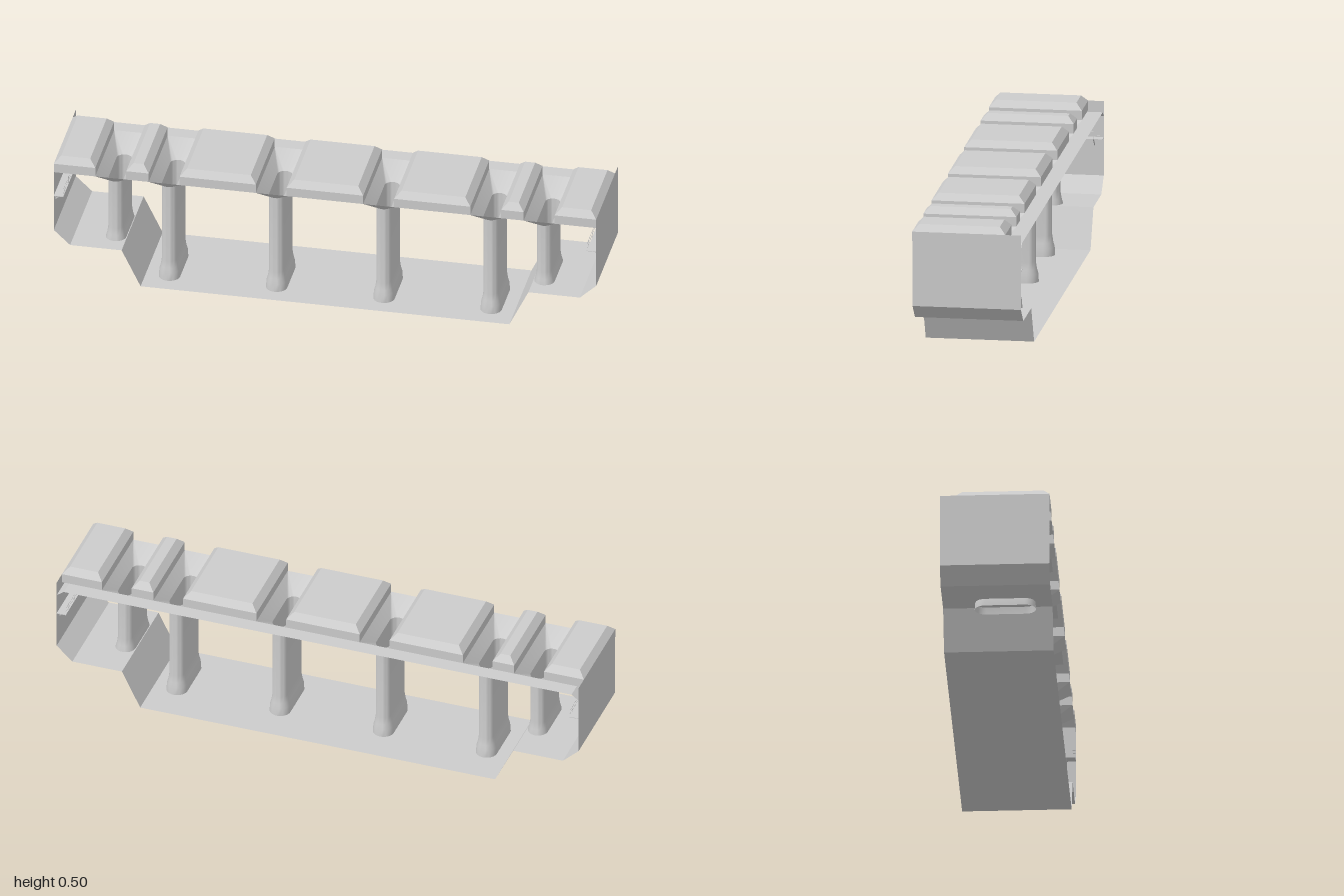
import * as THREE from 'three';
import { toCreasedNormals } from 'three/addons/utils/BufferGeometryUtils.js';

const mat = new THREE.MeshStandardMaterial({ color: 0xcccccc, side: THREE.DoubleSide });

function add(parent, geo, name, x = 0, y = 0, z = 0) {
  const m = new THREE.Mesh(geo, mat);
  m.name = name;
  m.position.set(x, y, z);
  parent.add(m);
  return m;
}

// Skin a stack of horizontal rings, optionally closing the top
function loft(rings, closeTop = false, crease = 0.6) {
  const n = rings[0].length, idx = [];
  for (let r = 0; r < rings.length - 1; r++) {
    for (let i = 0; i < n; i++) {
      const a = r * n + i, b = r * n + (i + 1) % n;
      idx.push(a, a + n, b, b, a + n, b + n);
    }
  }
  const top = (rings.length - 1) * n;
  if (closeTop) for (let i = 1; i < n - 1; i++) idx.push(top, top + i + 1, top + i);
  const g = new THREE.BufferGeometry();
  g.setAttribute('position', new THREE.Float32BufferAttribute(rings.flat(2), 3));
  g.setIndex(idx);
  return toCreasedNormals(g, crease);
}

// Rounded rectangle ring; radius 0 folds each corner onto a point
function ring(y, hx, hz, radius, seg = 6) {
  const pts = [];
  [[1, 1], [-1, 1], [-1, -1], [1, -1]].forEach(([sx, sz], q) => {
    for (let i = 0; i <= seg; i++) {
      const a = (q + i / seg) * Math.PI / 2;
      pts.push([sx * (hx - radius) + Math.cos(a) * radius, y,
        sz * (hz - radius) + Math.sin(a) * radius]);
    }
  });
  return pts;
}

// Thin sheet following an x-y line between two z values
function sheet(points, z0, z1) {
  const pos = [], idx = [];
  points.forEach(([x, y], i) => {
    pos.push(x, y, z0, x, y, z1);
    if (i) {
      const a = 2 * i - 2;
      idx.push(a, a + 1, a + 2, a + 2, a + 1, a + 3);
    }
  });
  const g = new THREE.BufferGeometry();
  g.setAttribute('position', new THREE.Float32BufferAttribute(pos, 3));
  g.setIndex(idx);
  return toCreasedNormals(g, 0.1);
}

export function createModel() {
  const group = new THREE.Group();
  const midZ = 0.029, gap = 0.057, roofHalf = 0.17;

  // Floor trough and end walls in one folded sheet
  const half = [[0.68, 0], [0.75, 0.142], [0.94, 0.142], [1, 0.198], [1, 0.475]];
  const left = half.map(([x, y]) => [-x, y]).reverse();
  add(group, sheet([...left, ...half], -0.198, 0.198), 'floorAndEndWalls');

  // Hollow piers flaring into the roof
  const piers = [-0.79, -0.593, -0.198, 0.198, 0.593, 0.79];
  for (const x of piers) {
    const base = Math.abs(x) > 0.7 ? 0.115 : 0;
    add(group, loft([
      ring(base, 0.039, 0.111, 0.039),
      ring(base + 0.03, 0.037, 0.109, 0.037),
      ring(base + 0.048, 0.032, 0.104, 0.032),
      ring(base + 0.075, 0.028, 0.1, 0.028),
      ring(0.385, 0.028, 0.1, 0.028)
    ]), 'pier', x, 0, midZ);
    add(group, loft([
      ring(0.385, 0.028, 0.1, 0.028),
      ring(0.44, gap, roofHalf, 0)
    ]), 'pierCapital', x, 0, midZ);
  }

  // Raised roof panels filling the spans, open underneath
  const edges = [-1, ...piers.flatMap(x => [x - gap, x + gap]), 1];
  for (let i = 0; i < edges.length; i += 2) {
    const cx = (edges[i] + edges[i + 1]) / 2, hx = (edges[i + 1] - edges[i]) / 2;
    add(group, loft([
      ring(0.44, hx, roofHalf, 0, 1),
      ring(0.475, hx, roofHalf, 0, 1),
      ring(0.499, hx - 0.023, roofHalf - 0.023, 0, 1)
    ], true, 0.1), 'roofPanel', cx, 0, midZ);
  }

  // Rear roof ledge, dipping at each end
  add(group, sheet([[-1, 0.42], [-0.973, 0.44], [0.973, 0.44], [1, 0.42]], -0.198, midZ - roofHalf), 'rearLedge');

  // Hanging ceiling lamps
  for (const x of [-0.395, 0, 0.395]) {
    add(group, new THREE.CylinderGeometry(0.0015, 0.0015, 0.07, 6), 'lampStem', x, 0.464, midZ);
    add(group, new THREE.CylinderGeometry(0.003, 0.006, 0.008, 10), 'lampShade', x, 0.428, midZ);
  }

  // Bracketed walkway with railing on the inside of each end wall
  const tri = new THREE.Shape([new THREE.Vector2(0, 0), new THREE.Vector2(-0.035, 0), new THREE.Vector2(0, -0.03)]);
  const inner = new THREE.Path([new THREE.Vector2(-0.002, -0.002), new THREE.Vector2(-0.028, -0.002), new THREE.Vector2(-0.002, -0.025)]);
  tri.holes.push(inner);
  const bracketGeo = new THREE.ExtrudeGeometry(tri, { depth: 0.003, bevelEnabled: false });
  for (const s of [-1, 1]) {
    const walk = new THREE.Group();
    walk.name = 'walkway';
    walk.position.x = s;
    walk.rotation.y = s < 0 ? Math.PI : 0;
    add(walk, new THREE.BoxGeometry(0.035, 0.002, 0.396), 'walkwayDeck', -0.0175, 0.34, 0);
    for (let i = 0; i < 6; i++) {
      const z = -0.165 + i * 0.066;
      add(walk, bracketGeo, 'bracket', 0, 0.339, z - 0.0015);
      add(walk, new THREE.BoxGeometry(0.0015, 0.03, 0.0015), 'railPost', -0.034, 0.355, z);
    }
    for (const y of [0.355, 0.369]) {
      add(walk, new THREE.BoxGeometry(0.0015, 0.0015, 0.396), 'handrail', -0.034, y, 0);
    }
    add(walk, new THREE.BoxGeometry(0.01, 0.005, 0.008), 'wallLamp', -0.007, 0.395, 0);
    // Sloping beam where the roof meets the wall
    add(walk, sheet([[-0.027, 0.44], [0, 0.42]], -0.141, 0.141), 'wallTopBeam');
    group.add(walk);
  }
  return group;
}
